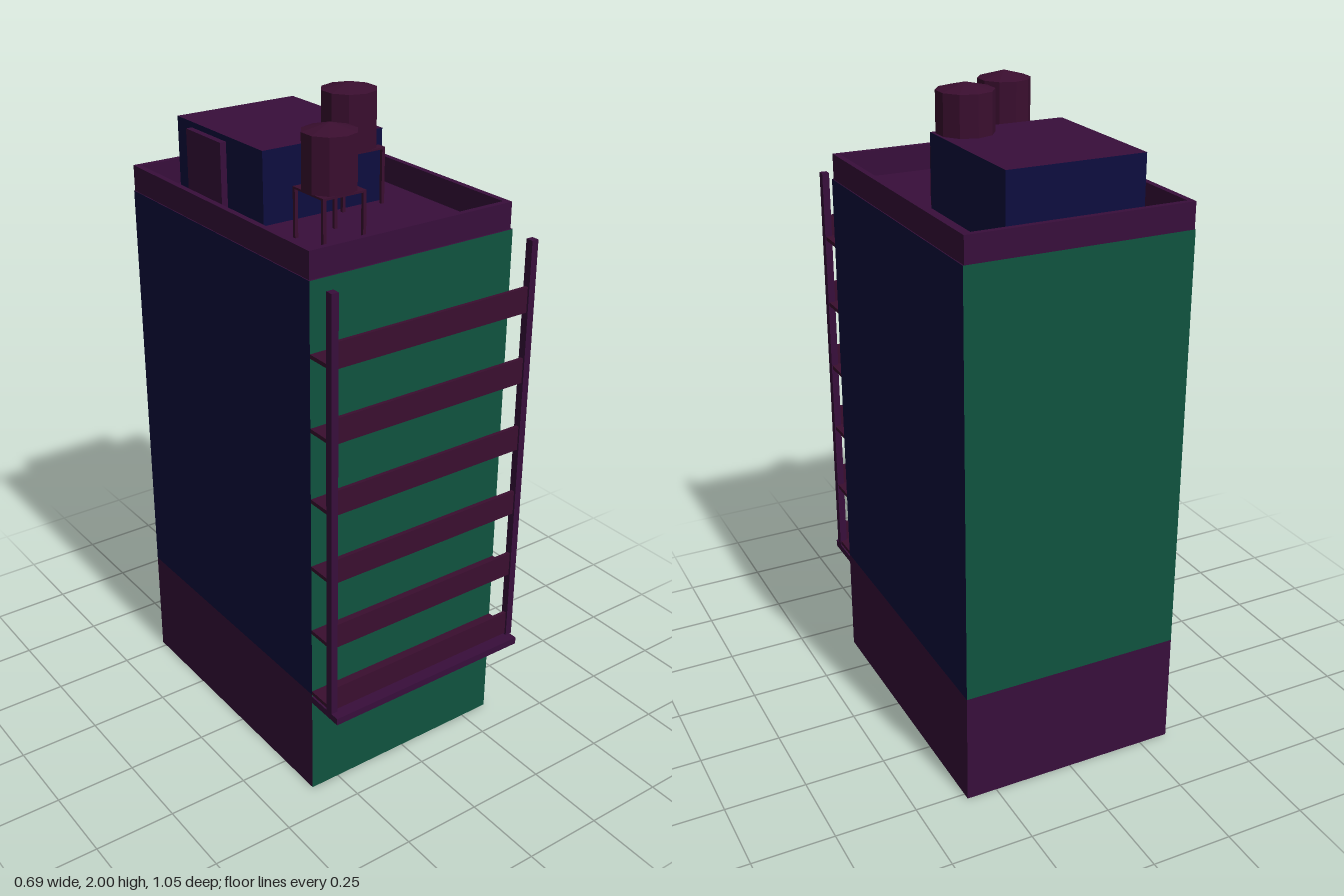
import * as THREE from 'three';

const mat = (name, color, side = THREE.FrontSide) =>
  Object.assign(new THREE.MeshStandardMaterial({ color, side, flatShading: true }), { name });

export function createModel() {
  const D = THREE.DoubleSide;
  const purple = mat('purple', 0x380e3b, D);
  const navy = mat('navy', 0x0d0d3f, D);
  const green = mat('green', 0x10533f, D);
  const maroon = mat('maroon', 0x3a0e2f);

  const model = new THREE.Group();
  model.name = 'apartmentBlock';

  const add = (parent, name, geometry, material) => {
    const mesh = new THREE.Mesh(geometry, material);
    mesh.name = name;
    parent.add(mesh);
    return mesh;
  };
  // box given by its lower and upper limits on each axis
  const box = (parent, name, [x0, x1], [y0, y1], [z0, z1], material) => {
    const mesh = add(parent, name, new THREE.BoxGeometry(x1 - x0, y1 - y0, z1 - z0), material);
    mesh.position.set((x0 + x1) / 2, (y0 + y1) / 2, (z0 + z1) / 2);
    return mesh;
  };
  const group = (name) => {
    const g = new THREE.Group();
    g.name = name;
    model.add(g);
    return g;
  };

  const W = 0.344, BACK = -0.522, FRONT = 0.398;
  const BASE = 0.35, ROOF = 1.647;
  const depth = FRONT - BACK, midZ = (FRONT + BACK) / 2;

  // Hollow shell, open at the bottom: four wall sheets per storey block
  const walls = (name, y0, y1, front, back, side) => {
    const g = group(name);
    const sheet = (part, width, x, z, turn, material) => {
      const wall = add(g, part, new THREE.PlaneGeometry(width, y1 - y0), material);
      wall.position.set(x, (y0 + y1) / 2, z);
      wall.rotation.y = turn;
    };
    sheet('frontWall', 2 * W, 0, FRONT, 0, front);
    sheet('backWall', 2 * W, 0, BACK, Math.PI, back);
    sheet('leftWall', depth, W, midZ, Math.PI / 2, side);
    sheet('rightWall', depth, -W, midZ, -Math.PI / 2, side);
  };
  walls('groundFloor', 0, BASE, green, purple, purple);
  walls('upperFloors', BASE, ROOF, green, green, navy);

  // Roof deck and parapet
  const roof = group('roof');
  const deck = add(roof, 'roofDeck', new THREE.PlaneGeometry(2 * W, depth), purple);
  deck.rotation.x = -Math.PI / 2;
  deck.position.set(0, ROOF, midZ);
  const P = 0.341, T = 0.018, PF = 0.392, PY = [ROOF, 1.725];
  box(roof, 'parapetFront', [-P, P], PY, [PF - T, PF], purple);
  box(roof, 'parapetBack', [-P, P], PY, [BACK, BACK + T], purple);
  for (const s of [-1, 1]) {
    const x = s * (P - T / 2);
    box(roof, 'parapetSide', [x - T / 2, x + T / 2], PY, [BACK + T, PF - T], purple);
  }

  // Rooftop stair house with navy walls, purple top and a door
  const house = group('stairHouse');
  box(house, 'stairHouseBody', [-0.207, 0.205], [ROOF, 1.862], [-0.48, -0.022],
    [navy, navy, purple, navy, navy, navy]);
  box(house, 'stairHouseDoor', [-0.227, -0.207], [ROOF, 1.845], [-0.398, -0.21], purple);

  // Balconies: a slab and a front rail on each floor, held by two posts
  const balconies = group('balconies');
  for (let i = 0; i < 6; i++) {
    const y = 0.35 + i * 0.2165;
    box(balconies, 'balconySlab', [-W, W], [y, y + 0.012], [FRONT, 0.484], maroon);
    box(balconies, 'balconyRail', [-0.325, 0.325], [y, y + 0.076], [0.482, 0.493], maroon);
  }
  for (const s of [-1, 1]) {
    const x = s * 0.336;
    box(balconies, 'balconyPost', [x - 0.011, x + 0.011], [0.345, 1.645], [0.475, 0.499], purple);
  }
  box(model, 'entranceCanopy', [-W, W], [0.32, 0.342], [FRONT, 0.524], purple);

  // Water tanks on four-legged stands
  const tank = (x, z, r, bottom, shoulder, peak) => {
    const g = group('waterTank');
    const barrel = add(g, 'tankBarrel', new THREE.CylinderGeometry(r, r, shoulder - bottom, 10), maroon);
    barrel.position.set(x, (bottom + shoulder) / 2, z);
    const lid = add(g, 'tankLid', new THREE.ConeGeometry(r, peak - shoulder, 10), maroon);
    lid.position.set(x, (peak + shoulder) / 2, z);
    const h = r * 0.9, t = 0.01;
    box(g, 'tankPlatform', [x - h, x + h], [bottom - 0.006, bottom], [z - h, z + h], maroon);
    for (const sx of [-1, 1]) for (const sz of [-1, 1]) {
      const lx = x + sx * (h - t / 2), lz = z + sz * (h - t / 2);
      box(g, 'tankLeg', [lx - t / 2, lx + t / 2], [ROOF, bottom], [lz - t / 2, lz + t / 2], maroon);
    }
  };
  tank(-0.12, 0.172, 0.079, 1.792, 1.95, 1.972);
  tank(0.118, -0.066, 0.083, 1.815, 1.98, 2.0);

  return model;
}
